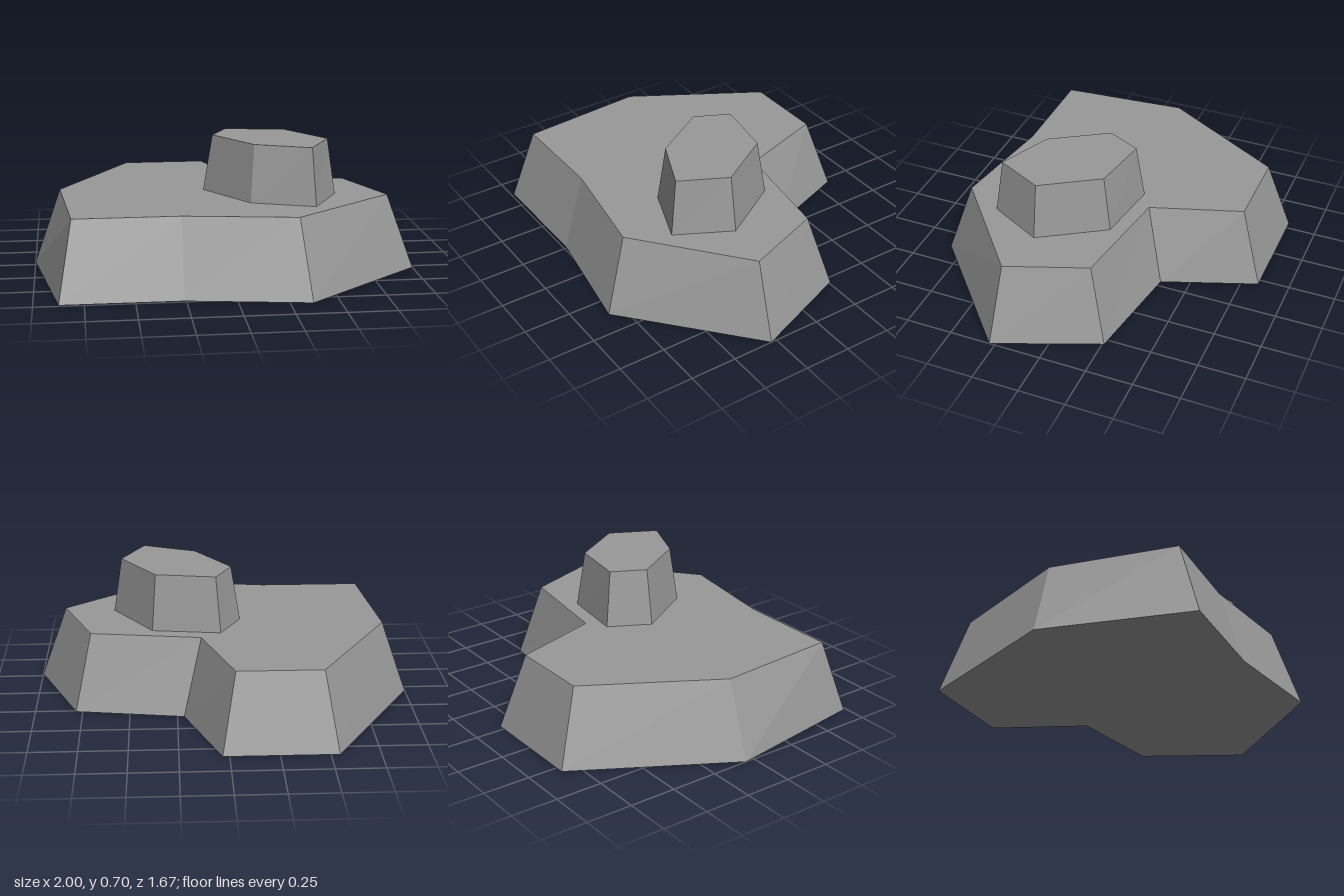
import * as THREE from 'three';

// Tapered slab between two matching outlines of [x, z] points, clockwise from above
function taperedSlab(name, lower, upper, y0, y1, material) {
  const pos = [];
  const put = (y, ...points) => points.forEach(([x, z]) => pos.push(x, y, z));
  const n = lower.length;

  // Sloping sides
  for (let i = 0; i < n; i++) {
    const j = (i + 1) % n;
    put(y0, lower[j], lower[i]);
    put(y1, upper[i]);
    put(y0, lower[j]);
    put(y1, upper[i], upper[j]);
  }

  // Flat top and underside
  const cap = (ring, y, up) => {
    const flat = ring.map(([x, z]) => new THREE.Vector2(x, -z));
    for (const tri of THREE.ShapeUtils.triangulateShape(flat, [])) {
      const [a, b, c] = tri.map((k) => flat[k]);
      const ccw = b.clone().sub(a).cross(c.clone().sub(a)) > 0;
      const order = ccw === up ? tri : [...tri].reverse();
      put(y, ...order.map((k) => ring[k]));
    }
  };
  cap(upper, y1, true);
  cap(lower, y0, false);

  const geometry = new THREE.BufferGeometry();
  geometry.setAttribute('position', new THREE.Float32BufferAttribute(pos, 3));
  geometry.computeVertexNormals();
  const mesh = new THREE.Mesh(geometry, material);
  mesh.name = name;
  return mesh;
}

export function createModel() {
  const group = new THREE.Group();
  group.name = 'rockFormation';
  const stone = new THREE.MeshStandardMaterial({ color: 0x999999 });
  stone.name = 'stone grey';

  // Broad base ledge with a notch at the back
  group.add(taperedSlab(
    'baseRock',
    [[-0.545, -0.84], [0.035, -0.84], [0.215, -0.35], [0.785, -0.26], [1, 0.28],
      [0.365, 0.835], [-0.26, 0.735], [-0.875, 0.735], [-1, -0.05]],
    [[-0.475, -0.715], [-0.035, -0.715], [0.12, -0.24], [0.7, -0.155], [0.855, 0.26],
      [0.315, 0.705], [-0.26, 0.615], [-0.805, 0.615], [-0.86, -0.05]],
    0, 0.4, stone));

  // Six-sided stump on top
  group.add(taperedSlab(
    'upperRock',
    [[0.015, -0.175], [0.375, -0.125], [0.585, 0.21], [0.435, 0.495], [0.115, 0.375], [-0.097, 0.04]],
    [[0.04, -0.135], [0.355, -0.083], [0.54, 0.21], [0.417, 0.455], [0.136, 0.335], [-0.048, 0.042]],
    0.4, 0.697, stone));

  return group;
}
